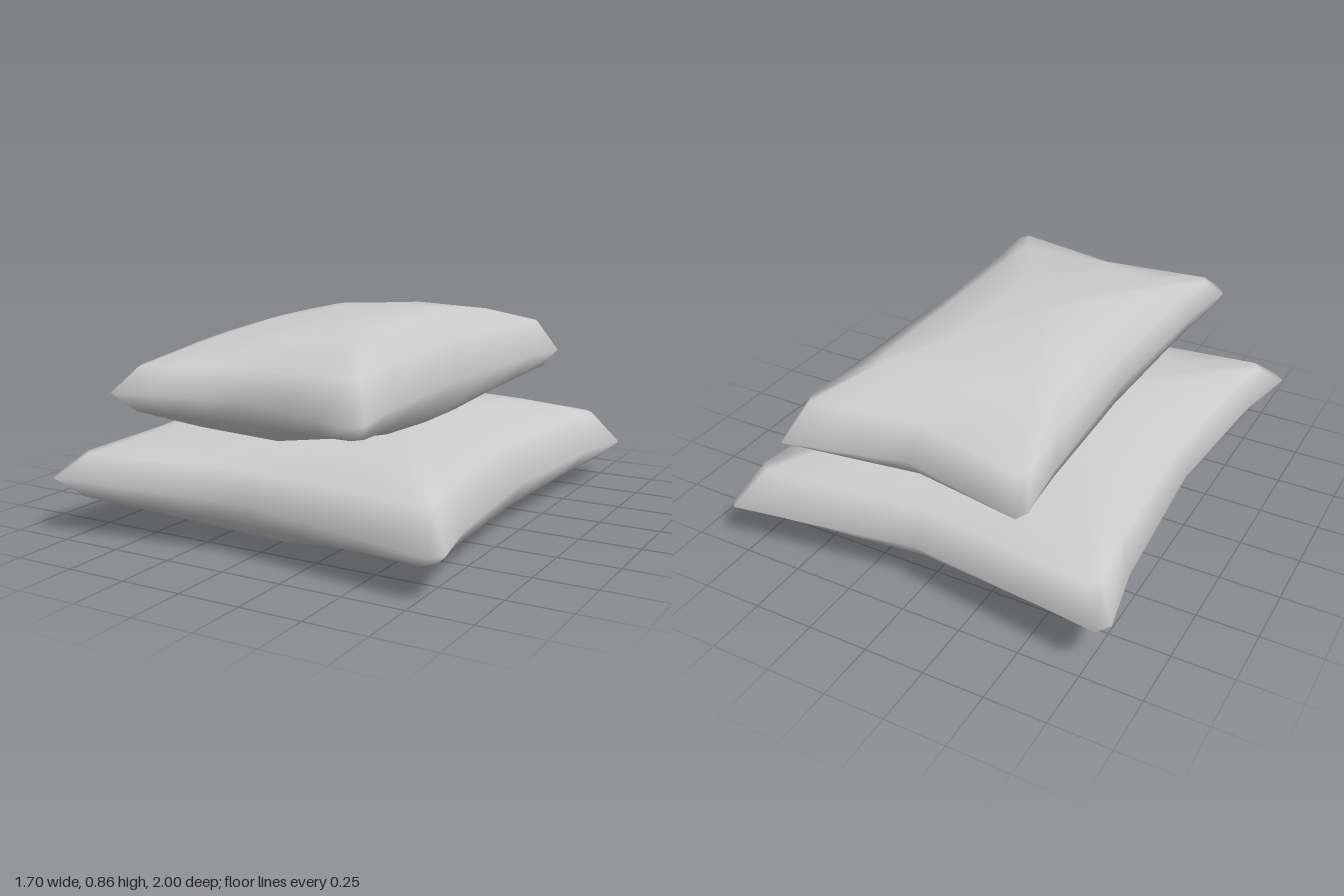
import * as THREE from 'three';

// Cross-section rings of one cushion, bottom to top.
// c: corner x, z, y; s: middle of the long side x, y; e: middle of the end z, y;
// dx, dz: shift of the ring; tilt: drop towards +x
const RINGS = [
  { c: [0.3, 0.35, 0.035], s: [0.29, 0.012], e: [0.35, 0.022], dx: 0.09, dz: 0.02, tilt: 0 },
  { c: [0.57, 0.7, 0.085], s: [0.535, 0.023], e: [0.69, 0.047], dx: 0.08, dz: 0.04, tilt: -0.008 },
  { c: [0.785, 0.92, 0.14], s: [0.69, 0.11], e: [0.82, 0.12], dx: 0.01, dz: 0, tilt: 0.02 },
  { c: [0.863, 1.007, 0.21], s: [0.748, 0.22], e: [0.895, 0.22], dx: 0.004, dz: -0.006, tilt: 0.03 },
  { c: [0.765, 0.9, 0.325], s: [0.69, 0.34], e: [0.81, 0.33], dx: 0, dz: 0, tilt: 0 },
  { c: [0.57, 0.63, 0.392], s: [0.53, 0.43], e: [0.62, 0.423], dx: -0.045, dz: 0, tilt: -0.01 },
  { c: [0.3, 0.32, 0.445], s: [0.29, 0.452], e: [0.33, 0.448], dx: -0.09, dz: 0, tilt: 0 },
];
const BOTTOM = [0.08, 0, 0];
const TOP = [-0.14, 0.47, 0];

// Walk around a unit square; the gap at the ends of each side cuts the corners
function perimeter() {
  const steps = [-0.94, -0.67, -0.33, 0, 0.33, 0.67, 0.94];
  const points = [];
  for (let side = 0; side < 4; side++) {
    for (const t of steps) points.push([[1, t], [-t, 1], [-1, -t], [t, -1]][side]);
  }
  return points;
}

// Pinched outline: the sides draw in between the corners
function ringPoint(ring, a, b) {
  const { c, s, e } = ring;
  let x, y, z;
  if (Math.abs(a) === 1) {
    const t = Math.abs(b);
    const k = Math.max(0.63 * t, 1 - 1.75 * (1 - t));
    x = a * THREE.MathUtils.lerp(s[0], c[0], k);
    z = b * c[1];
    y = THREE.MathUtils.lerp(s[1], c[2], k);
  } else {
    const k = Math.abs(a);
    x = a * c[0];
    z = b * THREE.MathUtils.lerp(e[0], c[1], k);
    y = THREE.MathUtils.lerp(e[1], c[2], k);
  }
  // The +x side is slightly shorter
  return [x + ring.dx, y - ring.tilt * a, z * (0.986 - 0.016 * x) + ring.dz];
}

function cushionGeometry() {
  const outline = perimeter();
  const n = outline.length;
  const positions = [];
  const index = [];
  for (const ring of RINGS) {
    for (const [a, b] of outline) positions.push(...ringPoint(ring, a, b));
  }
  positions.push(...BOTTOM, ...TOP);
  const bottom = RINGS.length * n;
  const top = bottom + 1;
  const last = (RINGS.length - 1) * n;
  for (let i = 0; i < n; i++) {
    const j = (i + 1) % n;
    for (let r = 0; r < last; r += n) {
      index.push(r + i, r + n + i, r + j, r + j, r + n + i, r + n + j);
    }
    index.push(bottom, i, j, top, last + j, last + i);
  }
  const geometry = new THREE.BufferGeometry();
  geometry.setAttribute('position', new THREE.Float32BufferAttribute(positions, 3));
  geometry.setIndex(index);
  geometry.computeVertexNormals();
  return geometry;
}

export function createModel() {
  const group = new THREE.Group();
  group.name = 'stackedCushions';
  const material = new THREE.MeshStandardMaterial({ color: 0xcccccc });

  // Wide cushion on the ground
  const lower = new THREE.Mesh(cushionGeometry(), material);
  lower.name = 'lowerCushion';
  group.add(lower);

  // Narrower cushion resting on it, slightly tipped
  const upper = new THREE.Mesh(cushionGeometry().scale(0.625, 1, 1), material);
  upper.name = 'upperCushion';
  upper.position.set(0.016, 0.388, 0);
  upper.rotation.z = 0.03;
  group.add(upper);

  return group;
}
